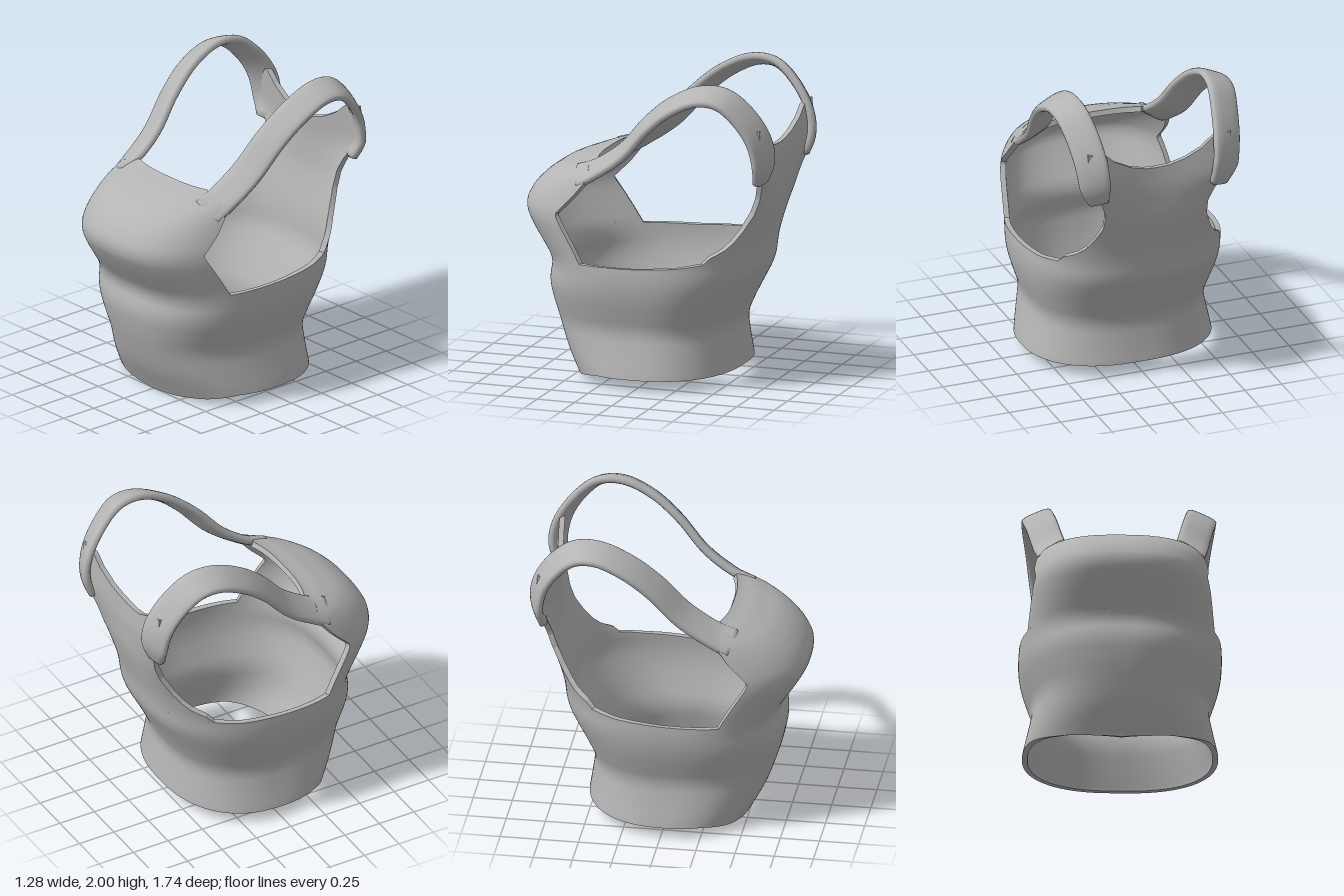
import * as THREE from 'three';
import { mergeGeometries } from 'three/addons/utils/BufferGeometryUtils.js';

// Value at t in a list of [key, value] rows, straight between the rows
function lookup(rows, t) {
  if (t <= rows[0][0]) return rows[0][1];
  const i = rows.findIndex((row) => t <= row[0]);
  if (i < 0) return rows[rows.length - 1][1];
  const [p, q] = [rows[i - 1], rows[i]];
  return THREE.MathUtils.lerp(p[1], q[1], (t - p[0]) / (q[0] - p[0]));
}

// Rounded lookup: averages a few neighbouring values
function soft(rows, y) {
  const last = rows[rows.length - 1][0];
  const reach = Math.max(0, Math.min(0.05, last - y, y - rows[0][0]));
  let sum = 0;
  for (let k = -2; k <= 2; k++) sum += lookup(rows, y + reach * k / 2);
  return sum / 5;
}

// Torso sections by height: [y, value]
const FRONT = [[0, 0.5], [0.18, 0.6], [0.32, 0.65], [0.45, 0.69], [0.6, 0.72], [0.75, 0.685], [0.88, 0.775],
  [0.97, 0.835], [1.07, 0.885], [1.16, 0.85], [1.24, 0.79], [1.32, 0.69], [1.38, 0.57], [1.42, 0.38]];
const BACK = [[0.08, 0.53], [0.2, 0.51], [0.36, 0.49], [0.5, 0.55], [0.73, 0.67], [0.9, 0.69], [1.07, 0.735],
  [1.2, 0.765], [1.4, 0.775], [1.55, 0.765], [1.75, 0.75]];
const WIDTH = [[0, 0.63], [0.08, 0.62], [0.22, 0.585], [0.36, 0.555], [0.48, 0.595], [0.6, 0.63], [0.72, 0.645],
  [0.85, 0.635], [1.1, 0.62], [1.3, 0.57], [1.42, 0.53]];
const BACK_WIDTH = [...WIDTH.slice(0, 8), [1.1, 0.69], [1.3, 0.85], [1.5, 1.1], [1.75, 1.1]];
const POWER = [[0, 2.3], [0.6, 2.5], [1, 2.65], [1.75, 2.65]];
const BLADES = [[1, 0], [1.2, 0.02], [1.45, 0.085], [1.75, 0.085]];

// Edges of the band by angle from the front
const HEM = [[0, 0], [20, 0.01], [45, 0.035], [65, 0.07], [180, 0.085]];
const BAND_TOP = [[0, 0.79], [58, 0.79], [90, 0.8], [115, 0.82], [129, 0.845], [180, 0.845]];
// Half spread of the panels in degrees by height, and the back neckline
const FRONT_SPREAD = [[0.79, 58], [1.09, 44.5], [1.22, 52], [1.31, 56], [1.37, 55], [1.42, 44]];
const BACK_SPREAD = [[0.845, 51], [0.89, 47], [0.93, 40], [0.98, 35], [1.05, 30.5], [1.15, 26], [1.25, 24.5],
  [1.35, 26], [1.5, 31], [1.75, 31]];
const BACK_NECK = [[0, 1.545], [0.2, 1.552], [0.42, 1.58], [0.65, 1.64], [0.8, 1.71], [1, 1.73]];

// Point on the torso at an angle and height
function torsoPoint(deg, y) {
  const a = THREE.MathUtils.degToRad(deg), s = Math.sin(a), c = Math.cos(a);
  const n = lookup(POWER, y);
  const depth = c > 0 ? soft(FRONT, y) : soft(BACK, y) + 4 * s * s * soft(BLADES, y);
  const width = soft(c > 0 ? WIDTH : BACK_WIDTH, y);
  const r = (Math.abs(s / width) ** n + Math.abs(c / depth) ** n) ** (-1 / n);
  return new THREE.Vector3(r * s, y, r * c);
}

function torsoNormal(deg, y) {
  const du = torsoPoint(deg + 1, y).sub(torsoPoint(deg - 1, y));
  const dv = torsoPoint(deg, y + 0.015).sub(torsoPoint(deg, y - 0.015));
  return du.cross(dv).normalize();
}

// The cloth is thicker inside the small of the back
function clothThickness(deg, y) {
  const back = Math.max(0, -Math.cos(THREE.MathUtils.degToRad(deg)));
  return 0.035 + 0.06 * back * Math.max(0, 1 - Math.abs(y - 0.34) / 0.3);
}

// Piece of cloth with an outside, an inside and a rim; place(s, t) gives [angle, height]
function clothGeometry(place, nu, nv) {
  const outer = [], inner = [], normals = [];
  for (let j = 0; j <= nv; j++) {
    for (let i = 0; i <= nu; i++) {
      const [deg, y] = place(2 * i / nu - 1, j / nv);
      const p = torsoPoint(deg, y), n = torsoNormal(deg, y);
      outer.push(p);
      normals.push(n);
      inner.push(p.clone().addScaledVector(n, -clothThickness(deg, y)));
    }
  }
  const face = (points, sign) => {
    const g = new THREE.BufferGeometry().setFromPoints(points), index = [];
    for (let j = 0; j < nv; j++) {
      for (let i = 0; i < nu; i++) {
        const a = j * (nu + 1) + i, b = a + 1, d = a + nu + 1, c = d + 1;
        if (sign > 0) index.push(a, b, d, b, c, d);
        else index.push(a, d, b, b, d, c);
      }
    }
    g.setIndex(index);
    const flat = normals.flatMap((n) => n.clone().multiplyScalar(sign).toArray());
    g.setAttribute('normal', new THREE.Float32BufferAttribute(flat, 3));
    return g.toNonIndexed();
  };
  // Rim runs round the border, joining outside and inside
  const border = [];
  for (let i = 0; i < nu; i++) border.push(i);
  for (let j = 0; j < nv; j++) border.push(j * (nu + 1) + nu);
  for (let i = nu; i > 0; i--) border.push(nv * (nu + 1) + i);
  for (let j = nv; j > 0; j--) border.push(j * (nu + 1));
  const rim = [];
  border.forEach((a, k) => {
    const b = border[(k + 1) % border.length];
    rim.push(outer[a], inner[a], outer[b], outer[b], inner[a], inner[b]);
  });
  const rimGeometry = new THREE.BufferGeometry().setFromPoints(rim);
  rimGeometry.computeVertexNormals();
  return mergeGeometries([face(outer, 1), face(inner, -1), rimGeometry]);
}

const band = (s, t) => {
  const side = Math.abs(s * 180);
  return [s * 180, THREE.MathUtils.lerp(lookup(HEM, side), lookup(BAND_TOP, side), t)];
};
const frontPanel = (s, t) => {
  const y = 0.79 + 0.63 * (1 - (1 - t) ** 1.5);
  return [s * lookup(FRONT_SPREAD, y), y];
};
const backPanel = (s, t) => {
  const y = THREE.MathUtils.lerp(0.845, lookup(BACK_NECK, Math.abs(s)), t);
  return [180 + s * lookup(BACK_SPREAD, y), y];
};

// Strap centre line from chest over the shoulder to the back: x, y, z
const STRAP = [[0.435, 1.315, 0.455], [0.435, 1.37, 0.33], [0.455, 1.51, 0.13], [0.49, 1.71, -0.05],
  [0.515, 1.85, -0.22], [0.52, 1.935, -0.41], [0.51, 1.925, -0.56], [0.485, 1.82, -0.69], [0.46, 1.66, -0.79],
  [0.44, 1.5, -0.815], [0.4, 1.36, -0.775]];
const HALF_WIDTH = [[0, 0.1], [0.15, 0.105], [0.5, 0.1], [0.8, 0.105], [0.9, 0.1], [1, 0.06]];
const TILT = [[0, 0.65], [0.12, 0.4], [0.35, 0.4], [0.6, 0.42], [0.85, 0.42], [1, 0.2]];

function strapGeometry(side) {
  const path = new THREE.CatmullRomCurve3(STRAP.map(([x, y, z]) => new THREE.Vector3(x * side, y, z)));
  const steps = 56, sides = 20, points = [], index = [];
  for (let i = 0; i <= steps; i++) {
    const t = i / steps, p = path.getPoint(t), tangent = path.getTangent(t);
    const wide = new THREE.Vector3(1, 0, 0);
    wide.addScaledVector(tangent, -wide.dot(tangent)).normalize();
    wide.applyAxisAngle(tangent, side * lookup(TILT, t));
    const up = wide.clone().cross(tangent);
    const end = i === 0 || i === steps ? 0.01 : 1;
    for (let k = 0; k < sides; k++) {
      const a = k / sides * Math.PI * 2, c = Math.cos(a), s = Math.sin(a);
      points.push(p.clone()
        .addScaledVector(wide, end * lookup(HALF_WIDTH, t) * Math.sign(c) * Math.abs(c) ** 0.7)
        .addScaledVector(up, end * 0.03 * Math.sign(s) * Math.abs(s) ** 0.6));
      if (i === steps) continue;
      const here = i * sides + k, next = i * sides + (k + 1) % sides;
      index.push(here, here + sides, next, here + sides, next + sides, next);
    }
  }
  const g = new THREE.BufferGeometry().setFromPoints(points);
  g.setIndex(index);
  g.computeVertexNormals();
  return g;
}

export function createModel() {
  const model = new THREE.Group();
  model.name = 'tankTop';
  const cloth = new THREE.MeshStandardMaterial({ color: 0xb4b4b4, side: THREE.DoubleSide });
  cloth.name = 'grey cloth';

  const add = (name, geometry) => {
    const mesh = new THREE.Mesh(geometry, cloth);
    mesh.name = name;
    model.add(mesh);
  };
  add('waistBand', clothGeometry(band, 180, 30));
  add('frontPanel', clothGeometry(frontPanel, 64, 36));
  add('backPanel', clothGeometry(backPanel, 60, 40));
  add('leftStrap', strapGeometry(1));
  add('rightStrap', strapGeometry(-1));
  return model;
}
